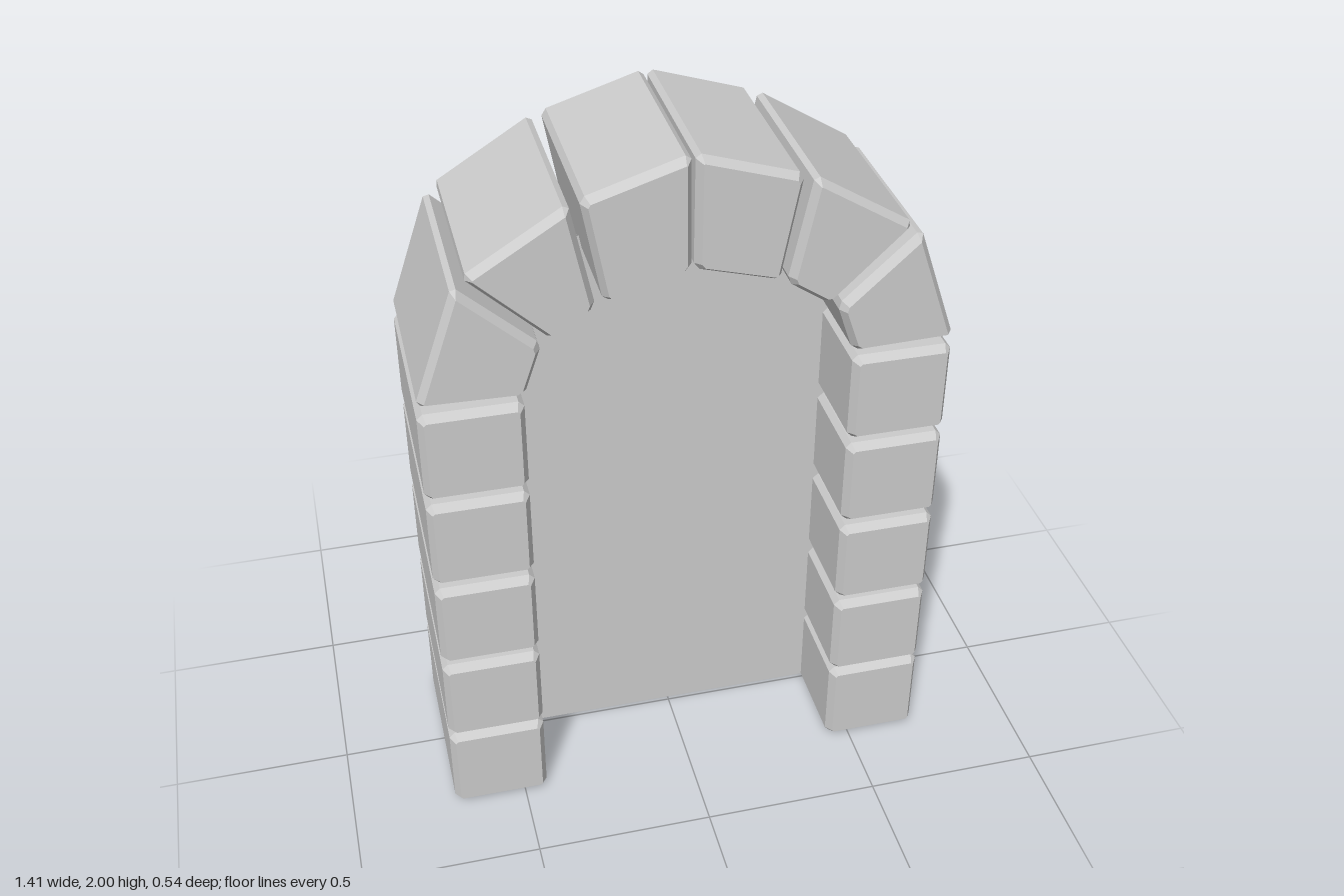
import * as THREE from 'three';

const stoneMat = new THREE.MeshStandardMaterial({ color: 0xcccccc, flatShading: true });
const barMat = new THREE.MeshStandardMaterial({ color: 0xcccccc });
const panelMat = new THREE.MeshStandardMaterial({ color: 0xcccccc, side: THREE.DoubleSide });

const DEPTH = 0.545;
const CUT = 0.015; // chamfer on the edges running front to back
const BEVEL = 0.025; // chamfer depth on the front and back faces

// Chamfered stone from a counter-clockwise outline of [x, y] corners
function stone(name, corners) {
  const pts = corners.map(([x, y]) => new THREE.Vector2(x, y));
  const outline = [];
  pts.forEach((p, i) => {
    const prev = pts[(i + pts.length - 1) % pts.length];
    const next = pts[(i + 1) % pts.length];
    for (const q of [prev, next]) {
      outline.push(p.clone().add(q.clone().sub(p).setLength(CUT)));
    }
  });
  const geo = new THREE.ExtrudeGeometry(new THREE.Shape(outline), {
    depth: DEPTH - 2 * BEVEL,
    bevelEnabled: true,
    bevelSegments: 1,
    bevelThickness: BEVEL,
    bevelSize: CUT,
    bevelOffset: -CUT,
  });
  geo.translate(0, 0, BEVEL - DEPTH / 2);
  const mesh = new THREE.Mesh(geo, stoneMat);
  mesh.name = name;
  return mesh;
}

// Round bar with softened ends
function bar(x, top) {
  const r = 0.052, b = 0.015;
  const profile = [
    [0, 0], [r - b, 0], [r - b, 0], [r - b * 0.3, b * 0.3], [r, b], [r, b],
    [r, top - b], [r, top - b], [r - b * 0.3, top - b * 0.3], [r - b, top], [r - b, top], [0, top],
  ].map(([px, py]) => new THREE.Vector2(px, py));
  const mesh = new THREE.Mesh(new THREE.LatheGeometry(profile, 32), barMat);
  mesh.position.set(x, 0, -0.138);
  mesh.name = 'bar';
  return mesh;
}

export function createModel() {
  const model = new THREE.Group();
  model.name = 'barredArchway';

  // Pillar blocks: bottom and top heights
  const rows = [[0, 0.262], [0.27, 0.526], [0.548, 0.804], [0.828, 1.088], [1.11, 1.37]];
  // Arch stones on the +x side, counter-clockwise
  const archStones = [
    [[0.431, 1.39], [0.706, 1.397], [0.592, 1.725], [0.382, 1.532]],
    [[0.357, 1.543], [0.57, 1.746], [0.304, 1.91], [0.244, 1.62]],
    [[0.225, 1.63], [0.278, 1.918], [0.005, 2.003], [0.003, 1.692]],
  ];

  for (const side of [1, -1]) {
    const mirror = (c) => (side > 0 ? c : c.map(([x, y]) => [-x, y]).reverse());

    const pillar = new THREE.Group();
    pillar.name = side > 0 ? 'leftPillar' : 'rightPillar';
    for (const [y0, y1] of rows) {
      pillar.add(stone('pillarBlock', mirror([[0.433, y0], [0.705, y0], [0.705, y1], [0.433, y1]])));
    }
    model.add(pillar);

    const arch = new THREE.Group();
    arch.name = side > 0 ? 'leftArch' : 'rightArch';
    for (const c of archStones) arch.add(stone('archStone', mirror(c)));
    model.add(arch);
  }

  // Thin arched panel filling the opening
  const shape = new THREE.Shape();
  shape.moveTo(-0.46, 0.012);
  shape.lineTo(0.46, 0.012);
  shape.lineTo(0.46, 1.39);
  shape.absellipse(0, 1.39, 0.46, 0.34, 0, Math.PI, false);
  shape.closePath();
  const panel = new THREE.Mesh(new THREE.ShapeGeometry(shape, 16), panelMat);
  panel.name = 'backingPanel';
  model.add(panel);

  // Vertical bars behind the panel, reaching into the arch
  const bars = new THREE.Group();
  bars.name = 'bars';
  const tops = [1.54, 1.69, 1.77, 1.69, 1.54];
  tops.forEach((top, i) => bars.add(bar((i - 2) * 0.192, top)));
  model.add(bars);

  return model;
}
